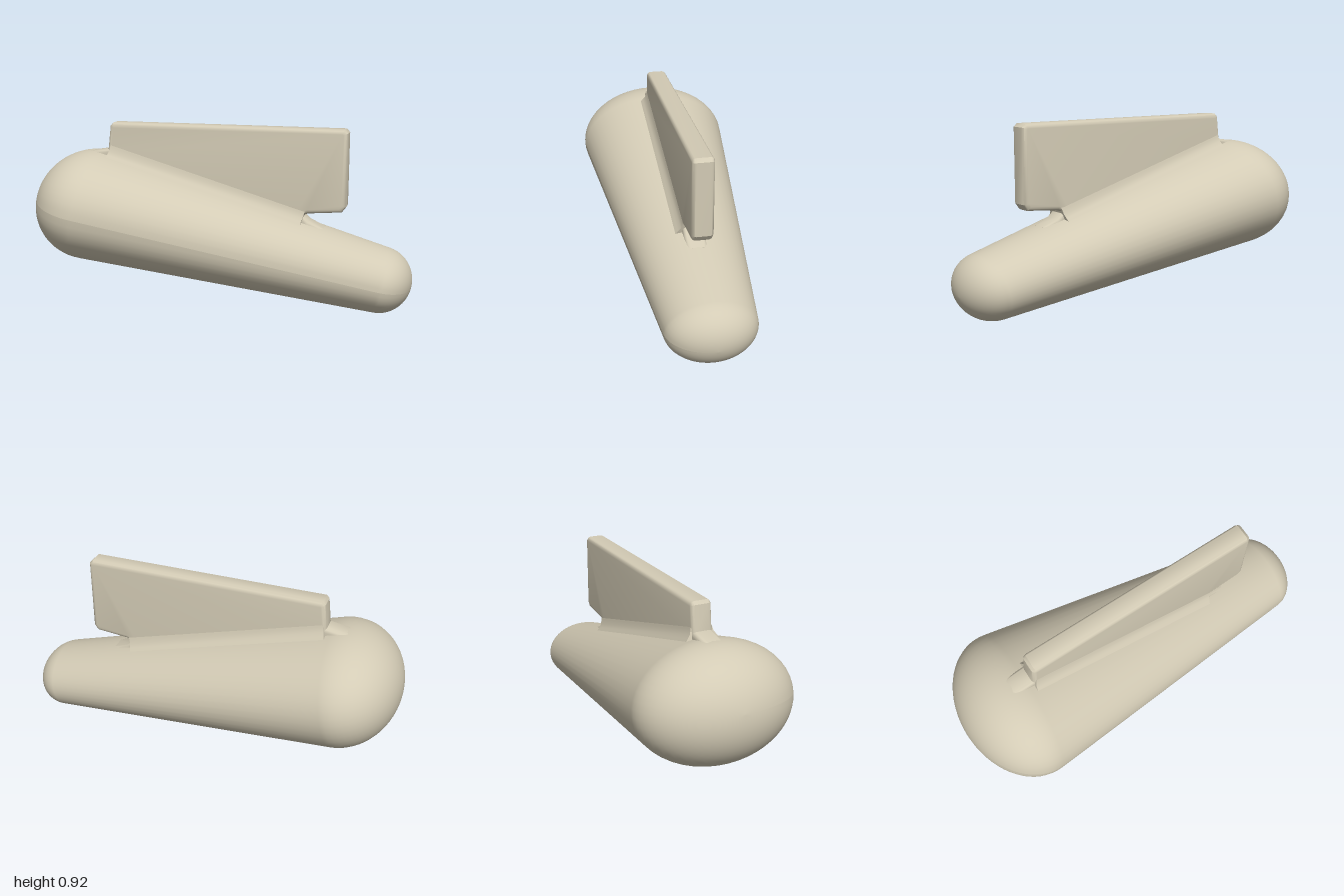
import * as THREE from 'three';
import { toCreasedNormals } from 'three/addons/utils/BufferGeometryUtils.js';

const shapeOf = (pts) => new THREE.Shape(pts.map(([x, y]) => new THREE.Vector2(x, y)));

// Capsule with a large and a small round end, joined by tangent straight sides
function taperedCapsule(big, rBig, small, rSmall, depthScale) {
  const axis = small.clone().sub(big);
  const length = axis.length();
  const tangent = Math.asin((rBig - rSmall) / length);
  const points = [];
  const arc = (centre, r, from, to, steps) => {
    for (let i = 0; i <= steps; i++) {
      const a = from + ((to - from) * i) / steps;
      points.push(new THREE.Vector2(Math.max(0, r * Math.cos(a)), centre + r * Math.sin(a)));
    }
  };
  arc(0, rBig, -Math.PI / 2, tangent, 18);
  arc(length, rSmall, tangent, Math.PI / 2, 14);
  const geometry = new THREE.LatheGeometry(points, 48);
  geometry.rotateZ(axis.angle() - Math.PI / 2);
  geometry.translate(big.x, big.y, 0);
  geometry.scale(1, 1, depthScale);
  geometry.computeVertexNormals();
  return geometry;
}

export function createModel() {
  const model = new THREE.Group();
  const beige = new THREE.MeshStandardMaterial({ color: 0xd3cbb5 });
  beige.name = 'warm beige';
  const add = (name, geometry) => {
    const mesh = new THREE.Mesh(geometry, beige);
    mesh.name = name;
    model.add(mesh);
    return mesh;
  };

  // Sloping body, wider than it is tall
  const big = new THREE.Vector2(-0.705, 0.475);
  const small = new THREE.Vector2(0.835, 0.167);
  add('body', taperedCapsule(big, 0.295, small, 0.165, 1.36));

  // Upright fin with softened edges and short flares into the body
  const bevel = 0.022;
  const halfThickness = 0.053;
  const fin = new THREE.ExtrudeGeometry(shapeOf([
    [-0.74, 0.74], [-0.71, 0.768], [-0.605, 0.785], [-0.59, 0.91], [-0.575, 0.925],
    [0.645, 0.927], [0.662, 0.91], [0.662, 0.54], [0.64, 0.51], [0.47, 0.495],
    [0.44, 0.485], [0.475, 0.455], [0.55, 0.42], [0.55, 0.36], [-0.55, 0.65],
  ].reverse()), {
    depth: 2 * (halfThickness - bevel),
    bevelThickness: bevel,
    bevelSize: bevel,
    bevelOffset: -bevel,
    bevelSegments: 4,
  });
  fin.translate(0, 0, bevel - halfThickness);
  add('fin', toCreasedNormals(fin, 0.6));

  // Concave fillet where the fin meets the sloping crest
  const side = [[0.092, -0.02], [0.075, 0.002], [0.062, 0.02], [0.055, 0.045], [0.05, 0.065]];
  const outline = [...side, ...side.map(([z, y]) => [-z, y]).reverse()];
  const start = new THREE.Vector2(-0.6, 0.755);
  const run = new THREE.Vector2(0.44, 0.455).sub(start);
  const fillet = new THREE.ExtrudeGeometry(shapeOf(outline), { depth: run.length(), bevelEnabled: false });
  fillet.rotateY(Math.PI / 2);
  fillet.rotateZ(run.angle());
  fillet.translate(start.x, start.y, 0);
  add('finFillet', toCreasedNormals(fillet, 0.8));

  return model;
}
